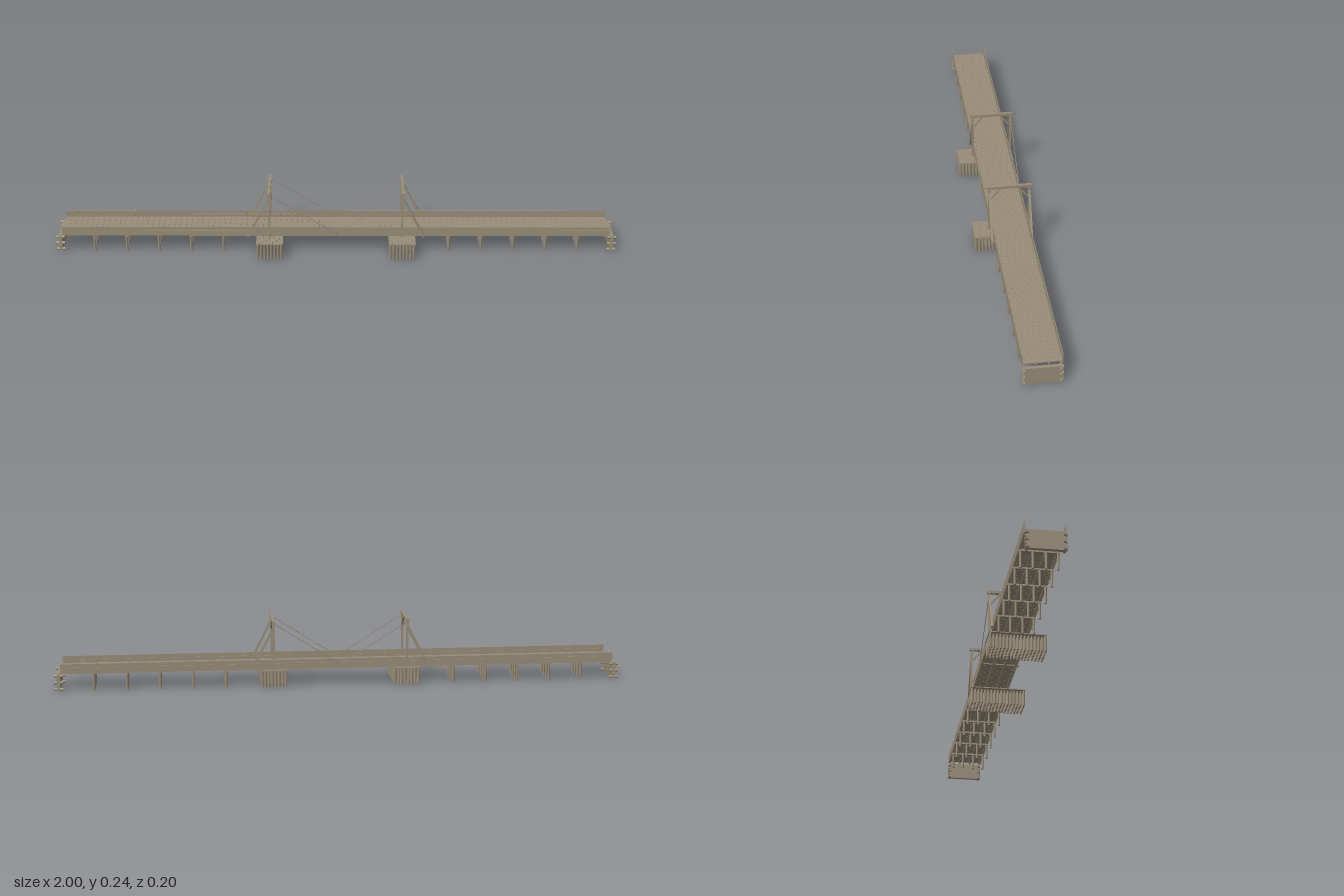
import * as THREE from 'three';

export function createModel() {
  const bridge = new THREE.Group();
  bridge.name = 'timberBridge';
  const wood = new THREE.MeshStandardMaterial({ color: 0x998d78 });
  wood.name = 'weathered wood';

  const Z_FRONT = 0.041, Z_BACK = -0.089, Z_MID = (Z_FRONT + Z_BACK) / 2;
  const STRINGERS = [0.035, -0.003, -0.044, -0.083];

  const group = (name) => {
    const g = new THREE.Group();
    g.name = name;
    bridge.add(g);
    return g;
  };
  // box given by its limits on each axis
  const box = (parent, name, x0, x1, y0, y1, z0, z1) => {
    const m = new THREE.Mesh(new THREE.BoxGeometry(Math.abs(x1 - x0), Math.abs(y1 - y0), Math.abs(z1 - z0)), wood);
    m.position.set((x0 + x1) / 2, (y0 + y1) / 2, (z0 + z1) / 2);
    m.name = name;
    parent.add(m);
    return m;
  };
  const UP = new THREE.Vector3(0, 1, 0);
  // round or square member between two points
  const beam = (parent, name, a, b, size, sides = 8) => {
    const p = new THREE.Vector3(...a), q = new THREE.Vector3(...b);
    const d = q.clone().sub(p), len = d.length();
    const geo = sides === 4 ? new THREE.BoxGeometry(size * 2, len, size * 2)
      : new THREE.CylinderGeometry(size, size, len, sides);
    const m = new THREE.Mesh(geo, wood);
    m.position.copy(p).add(q).multiplyScalar(0.5);
    m.quaternion.setFromUnitVectors(UP, d.normalize());
    m.name = name;
    parent.add(m);
    return m;
  };

  // deck: round stringers under cross planks
  const deck = group('deck');
  for (const z of STRINGERS) beam(deck, 'stringer', [-0.977, 0.065, z], [0.977, 0.065, z], 0.0038);
  const planks = 98, step = 1.954 / planks;
  for (let i = 0; i < planks; i++) {
    const x = -0.977 + i * step;
    box(deck, 'plank', x, x + step - 0.0006, 0.0685, 0.072, Z_BACK, Z_FRONT);
  }

  // side boards with inner studs
  const railing = group('railing');
  for (const [z, inward] of [[Z_FRONT, -1], [Z_BACK, 1]]) {
    box(railing, 'lowerBoard', -0.977, 0.977, 0.062, 0.084, z, z + inward * 0.002);
    box(railing, 'upperBoard', -0.977, 0.977, 0.0845, 0.097, z, z + inward * 0.002);
    for (let i = 0; i <= 48; i++) {
      const x = -0.972 + i * 0.0405;
      box(railing, 'stud', x - 0.002, x + 0.002, 0.072, 0.097, z + inward * 0.002, z + inward * 0.004);
    }
  }

  for (const s of [-1, 1]) {
    // pile bents under the approach spans
    const bents = group('pileBents');
    for (let i = 0; i < 5; i++) {
      const x = s * (0.403 + i * 0.115);
      for (const z of STRINGERS) beam(bents, 'pile', [x, 0, z], [x, 0.058, z], 0.0042);
      box(bents, 'capBeam', x - 0.004, x + 0.004, 0.056, 0.062, Z_BACK, Z_FRONT);
    }

    // pier: grid of piles carrying a platform
    const pier = group('pier');
    const cols = 8, rows = 17;
    for (let i = 0; i < cols; i++) {
      for (let j = 0; j < rows; j++) {
        const x = s * (0.1935 + i * 0.0119), z = 0.097 - j * 0.0119;
        const top = j === 0 || j === rows - 1 ? 0.058 : 0.053;
        beam(pier, 'pierPile', [x, 0, z], [x, top, z], 0.0038);
      }
    }
    for (let i = 0; i < cols; i++) {
      const x = s * (0.1935 + i * 0.0119);
      box(pier, 'platformPlank', x - 0.0057, x + 0.0057, 0.0575, 0.061, -0.099, 0.102);
    }

    // tower: two posts, top beam, knee braces and raking struts
    const tower = group('tower');
    const x = s * 0.236;
    for (const [z, inward] of [[0.046, -1], [-0.092, 1]]) {
      beam(tower, 'post', [x, 0.061, z], [x, 0.228, z], 0.0039, 4);
      beam(tower, 'kneeBrace', [x, 0.184, z + inward * 0.002], [x, 0.229, z + inward * 0.04], 0.0027, 4);
      beam(tower, 'rakingStrut', [x, 0.213, z], [s * 0.313, 0.062, z], 0.0036, 4);
      beam(tower, 'suspensionRope', [x, 0.227, z], [0, 0.076, z], 0.0012, 6);
    }
    box(tower, 'topBeam', x - 0.005, x + 0.005, 0.226, 0.236, -0.1, 0.054);

    // abutment: stacked cross logs locked by short log ends
    const abutment = group('abutment');
    box(abutment, 'wall', s * 0.979, s * 0.991, 0, 0.061, Z_BACK + 0.004, Z_FRONT - 0.004);
    for (let k = 0; k < 5; k++) {
      const y = 0.0061 + k * 0.0122;
      beam(abutment, 'crossLog', [s * 0.985, y, Z_BACK], [s * 0.985, y, Z_FRONT], 0.0061);
    }
    for (const z of [0.034, -0.082]) {
      for (const y of [0.006, 0.03, 0.054]) {
        beam(abutment, 'logEnd', [s * 0.969, y, z], [s, y, z], 0.0055);
      }
    }
  }
  // centre tie where the ropes meet the deck
  box(deck, 'centreTie', -0.004, 0.004, 0.0645, 0.0685, -0.094, 0.048);
  for (const z of [0.046, -0.092]) beam(deck, 'ropeHanger', [0, 0.065, z], [0, 0.078, z], 0.0016, 6);
  deck.position.z = 0;
  deck.userData.middle = Z_MID;
  return bridge;
}
